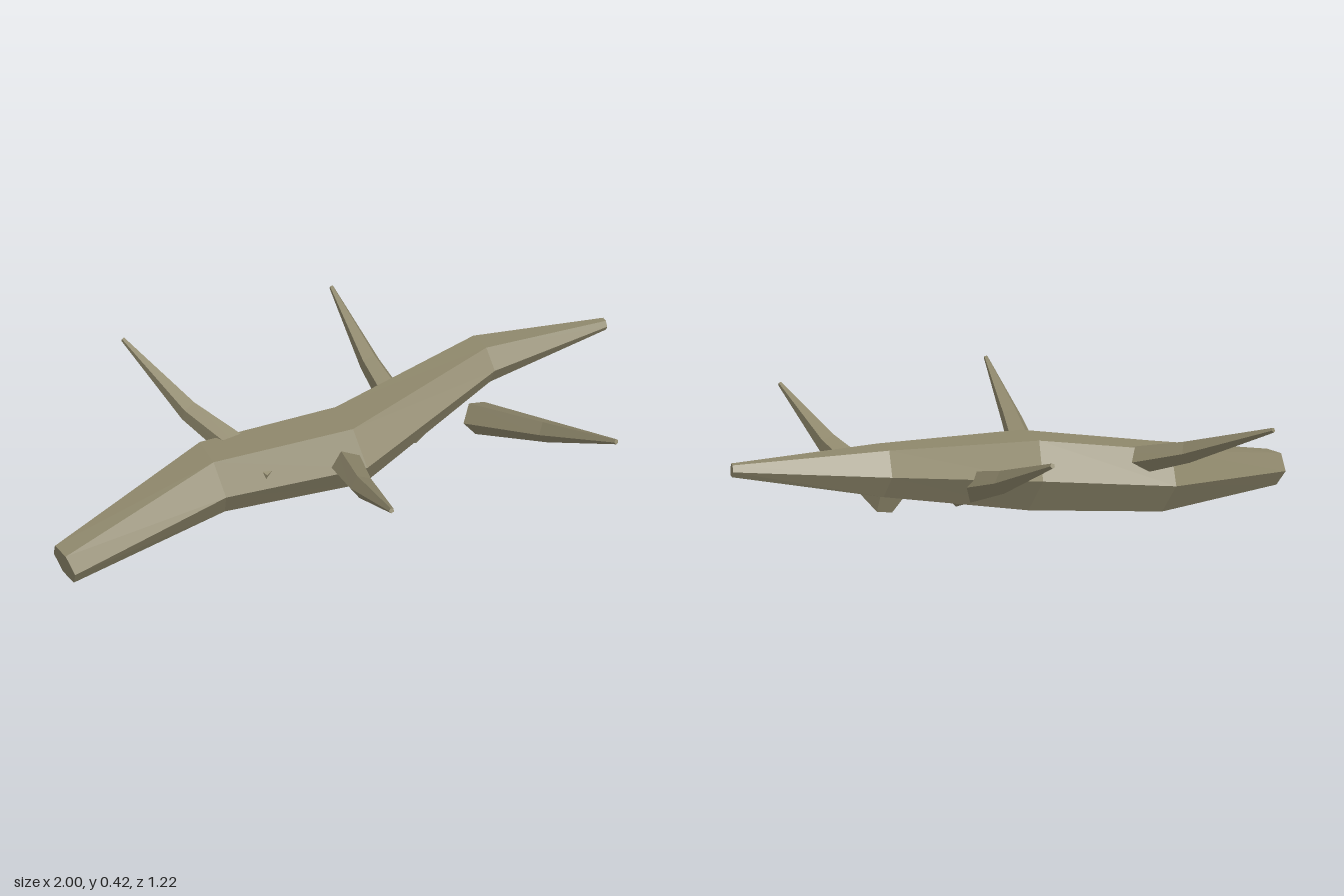
import * as THREE from 'three';

// Closed faceted tube: each station is [x, y, z, radius], rings lie across the path
function taperedLimb(stations, sides, startAngle) {
  const centres = stations.map(([x, y, z]) => new THREE.Vector3(x, y, z));
  const last = centres.length - 1;
  const up = new THREE.Vector3(0, 1, 0);
  const rings = centres.map((c, i) => {
    const tangent = new THREE.Vector3();
    if (i > 0) tangent.add(c.clone().sub(centres[i - 1]).normalize());
    if (i < last) tangent.add(centres[i + 1].clone().sub(c).normalize());
    tangent.normalize();
    const side = up.clone().cross(tangent).normalize();
    const rise = tangent.clone().cross(side);
    return Array.from({ length: sides }, (_, j) => {
      const a = startAngle + (j / sides) * Math.PI * 2;
      return c.clone()
        .addScaledVector(side, Math.cos(a) * stations[i][3])
        .addScaledVector(rise, Math.sin(a) * stations[i][3]);
    });
  });

  const points = [];
  for (let j = 0; j < sides; j++) {
    const k = (j + 1) % sides;
    for (let i = 0; i < last; i++) {
      const [a, b, c, d] = [rings[i][j], rings[i][k], rings[i + 1][k], rings[i + 1][j]];
      points.push(a, b, c, a, c, d);
    }
    // End caps
    points.push(centres[0], rings[0][k], rings[0][j]);
    points.push(centres[last], rings[last][j], rings[last][k]);
  }
  const geometry = new THREE.BufferGeometry().setFromPoints(points);
  geometry.computeVertexNormals();
  return geometry;
}

export function createModel() {
  const model = new THREE.Group();
  model.name = 'fallenLog';
  const wood = new THREE.MeshStandardMaterial({ color: 0x8f886c, flatShading: true });
  wood.name = 'weathered wood';

  const add = (name, geometry) => {
    const mesh = new THREE.Mesh(geometry, wood);
    mesh.name = name;
    model.add(mesh);
  };

  // Six-sided trunk, bending and tapering to a thin tip
  add('trunk', taperedLimb([
    [-0.985, 0.06, -0.003, 0.066],
    [-0.44, 0.142, -0.115, 0.121],
    [0, 0.198, -0.005, 0.135],
    [0.55, 0.312, -0.115, 0.084],
    [0.997, 0.362, -0.055, 0.021],
  ], 6, 0));

  // Five-sided branches: base, bend and tip of each (x), dir is the z side
  const branches = [
    { name: 'frontRightBranch', dir: 1, x: [-0.035, -0.11, -0.163] },
    { name: 'frontLeftBranch', dir: 1, x: [0.47, 0.555, 0.607] },
    { name: 'backRightBranch', dir: -1, x: [-0.272, -0.435, -0.545] },
    { name: 'backLeftBranch', dir: -1, x: [0.238, 0.222, 0.222] },
  ];
  for (const { name, dir, x } of branches) {
    add(name, taperedLimb([
      [x[0], 0.17, 0, 0.059],
      [x[1], 0.281, dir * 0.305, 0.037],
      [x[2], 0.417, dir * 0.604, 0.008],
    ], 5, Math.PI));
  }
  return model;
}
